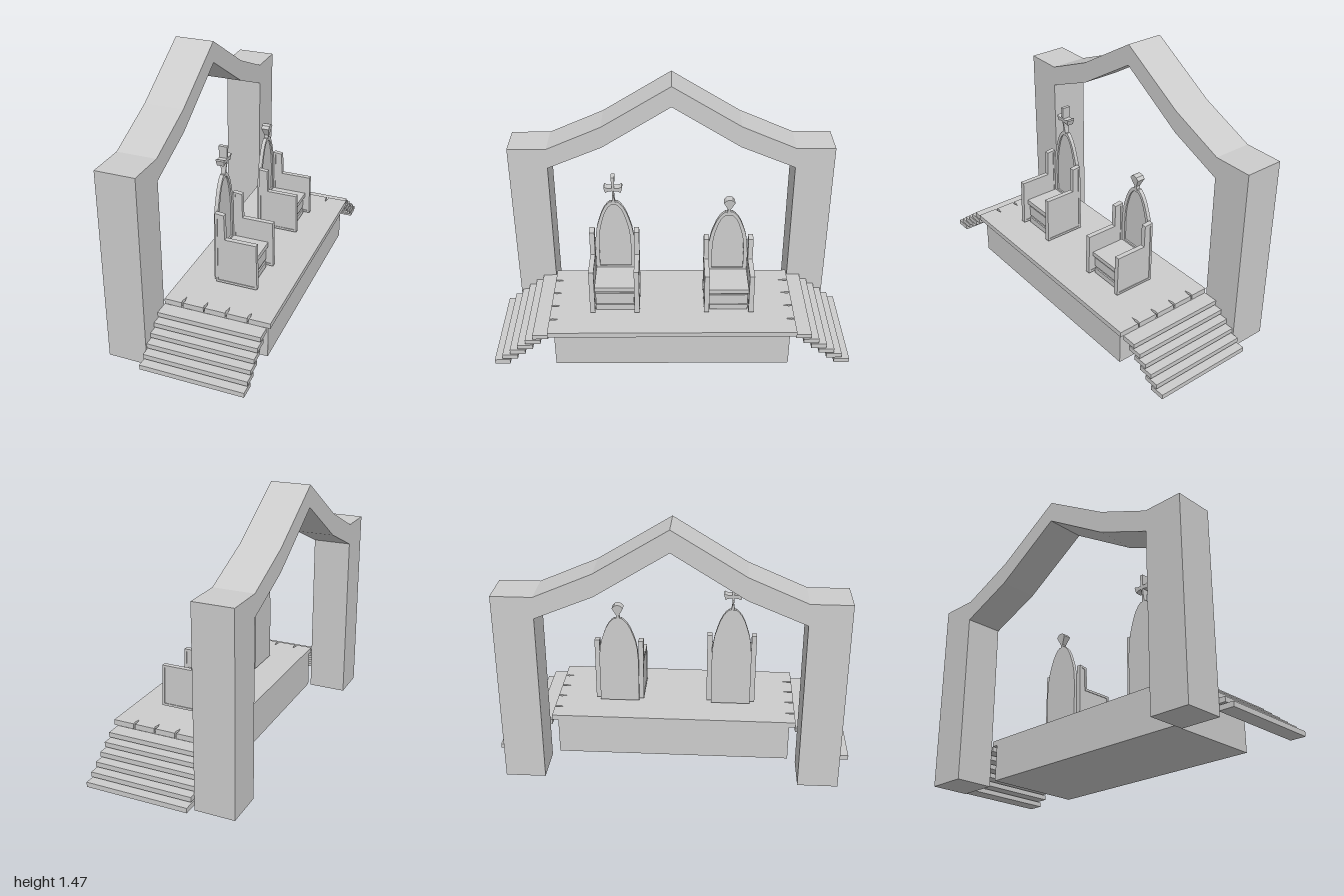
import * as THREE from 'three';

const material = new THREE.MeshStandardMaterial({ color: 0xcccccc, flatShading: true });

function add(parent, name, geometry, x = 0, y = 0, z = 0) {
  const mesh = new THREE.Mesh(geometry, material);
  mesh.name = name;
  mesh.position.set(x, y, z);
  parent.add(mesh);
  return mesh;
}

// Box given by its minimum and maximum on each axis
function block(parent, name, [x0, x1], [y0, y1], [z0, z1]) {
  return add(parent, name, new THREE.BoxGeometry(x1 - x0, y1 - y0, z1 - z0),
    (x0 + x1) / 2, (y0 + y1) / 2, (z0 + z1) / 2);
}

const toShape = (pts) => new THREE.Shape(pts.map(([a, b]) => new THREE.Vector2(a, b)));
const mirrored = (half) => [...half, ...half.filter(([a]) => a !== 0).reverse().map(([a, b]) => [-a, b])];
const extrude = (shape, depth) => new THREE.ExtrudeGeometry(shape, { depth, bevelEnabled: false });

// Outline in the z-y plane, extruded along x from x0 to x1
function facingX(shape, x0, x1) {
  return extrude(shape, x1 - x0).rotateY(Math.PI / 2).translate(x0, 0, 0);
}

// Widens an ornament's depth towards the top
function flareDepth(geometry, y0, y1, d0, d1) {
  const p = geometry.attributes.position;
  for (let i = 0; i < p.count; i++) {
    const t = THREE.MathUtils.clamp((p.getY(i) - y0) / (y1 - y0), 0, 1);
    p.setX(i, Math.sign(p.getX(i)) * THREE.MathUtils.lerp(d0, d1, t));
  }
  geometry.computeVertexNormals();
  return geometry;
}

// Pointed arch outline of a throne back, shrunk by a margin
function backOutline(h, margin, bottom) {
  const half = [[0.112, bottom], [0.112, 0.3 * h], [0.107, 0.38 * h], [0.098, 0.435 * h], [0.085, 0.48 * h],
    [0.07, 0.525 * h], [0.053, 0.56 * h], [0.036, 0.583 * h], [0.02, 0.597 * h]];
  return mirrored(half.map(([u, y], i) => [u * (1 - margin / 0.112), i ? y - margin * (i / 8) : y]));
}

function armOutline(h, inset) {
  const i = inset;
  return [[0.005 + i, 0.01 + i], [0.243 - i, 0.01 + i], [0.236 - i, 0.28 * h - i], [0.06 - i, 0.28 * h - i],
    [0.056 - i, 0.425 * h - i], [0.005 + i, 0.43 * h - i]];
}

function createThrone(h) {
  const throne = new THREE.Group();
  // Back with a raised rim around a recessed panel
  add(throne, 'backPanel', facingX(toShape(backOutline(h, 0, 0.005)), -0.013, -0.001));
  const rim = toShape(backOutline(h, 0, 0.005));
  rim.holes.push(new THREE.Path(backOutline(h, 0.022, 0.17 * h).map(([a, b]) => new THREE.Vector2(a, b))));
  add(throne, 'backRim', facingX(rim, -0.001, 0.008));

  // Seat box, front rails and cushion
  block(throne, 'seatBox', [0, 0.195], [0, 0.12 * h], [-0.108, 0.108]);
  block(throne, 'frontPlinth', [0.1, 0.203], [0, 0.035 * h], [-0.108, 0.108]);
  block(throne, 'frontRail', [0.1, 0.201], [0.05 * h, 0.112 * h], [-0.108, 0.108]);
  block(throne, 'seat', [0, 0.212], [0.13 * h, 0.158 * h], [-0.112, 0.112]);
  block(throne, 'seatSupport', [0, 0.198], [0.12 * h, 0.13 * h], [-0.108, 0.108]);

  // Stepped side panels with a thicker edging
  for (const side of [-1, 1]) {
    const arm = new THREE.Group();
    arm.name = side > 0 ? 'leftArm' : 'rightArm';
    add(arm, 'armPanel', extrude(toShape(armOutline(h, 0.004)), 0.02), 0, 0, -0.01);
    const edging = toShape(armOutline(h, 0));
    edging.holes.push(new THREE.Path(armOutline(h, 0.013).map(([a, b]) => new THREE.Vector2(a, b))));
    add(arm, 'armEdging', extrude(edging, 0.028), 0, 0, -0.014);
    arm.position.z = side * 0.125;
    throne.add(arm);
  }
  return throne;
}

export function createModel() {
  const model = new THREE.Group();

  // Gabled archway
  const outer = [[0.92, 0], [0.92, 1.09], [0.7, 1.09], [0.39, 1.225], [0, 1.465]];
  const inner = [[0, 1.345], [0.39, 1.1], [0.7, 0.97], [0.7, 0]];
  const flip = (pts) => pts.map(([a, b]) => [-a, b]).reverse();
  const archway = toShape([...outer, ...flip(outer).slice(1), ...flip(inner), ...inner.slice(1)]);
  add(model, 'archway', facingX(archway, -0.41, -0.19));

  // Dais and its floor slab with split plank ends
  block(model, 'daisBase', [-0.19, 0.38], [0.025, 0.235], [-0.655, 0.655]);
  const splits = [-0.087, 0.037, 0.16, 0.283];
  const edge = [[-0.19, -0.69]];
  for (const x of splits) {
    edge.push([x - 0.004, -0.69], [x - 0.007, -0.67], [x, -0.635], [x + 0.007, -0.67], [x + 0.004, -0.69]);
  }
  edge.push([0.405, -0.69]);
  const slab = toShape([...edge, ...edge.map(([x, z]) => [x, -z]).reverse()]);
  add(model, 'floorSlab', extrude(slab, 0.03).rotateX(-Math.PI / 2), 0, 0.233, 0);

  // Open stairs at both ends
  for (const side of [-1, 1]) {
    const stairs = new THREE.Group();
    stairs.name = side > 0 ? 'leftStairs' : 'rightStairs';
    for (let i = 0; i < 6; i++) {
      const z = side * (0.957 - i * 0.045);
      const y = 0.03 + i * 0.035;
      block(stairs, 'step', [-0.19, 0.385], [y, y + 0.027], [z - 0.043, z + 0.043]);
    }
    model.add(stairs);
  }

  // Tall throne with a flared cross
  const tall = createThrone(1);
  tall.name = 'tallThrone';
  const cross = toShape(mirrored([[0.011, 0.59], [0.005, 0.625], [0.005, 0.672], [0.03, 0.668], [0.042, 0.66],
    [0.051, 0.69], [0.048, 0.698], [0.03, 0.69], [0.006, 0.69], [0.01, 0.757]]));
  add(tall, 'crossFinial', flareDepth(facingX(cross, -0.01, 0.01), 0.6, 0.685, 0.01, 0.023));
  tall.position.set(0, 0.27, 0.322);

  // Shorter throne with a fan
  const short = createThrone(0.885);
  short.name = 'shortThrone';
  const fan = toShape(mirrored([[0.012, 0.52], [0.007, 0.545], [0.031, 0.592], [0.018, 0.608], [0, 0.613]]));
  add(short, 'fanFinial', flareDepth(facingX(fan, -0.01, 0.01), 0.53, 0.59, 0.01, 0.023));
  short.position.set(0, 0.27, -0.32);

  model.add(tall, short);
  return model;
}
